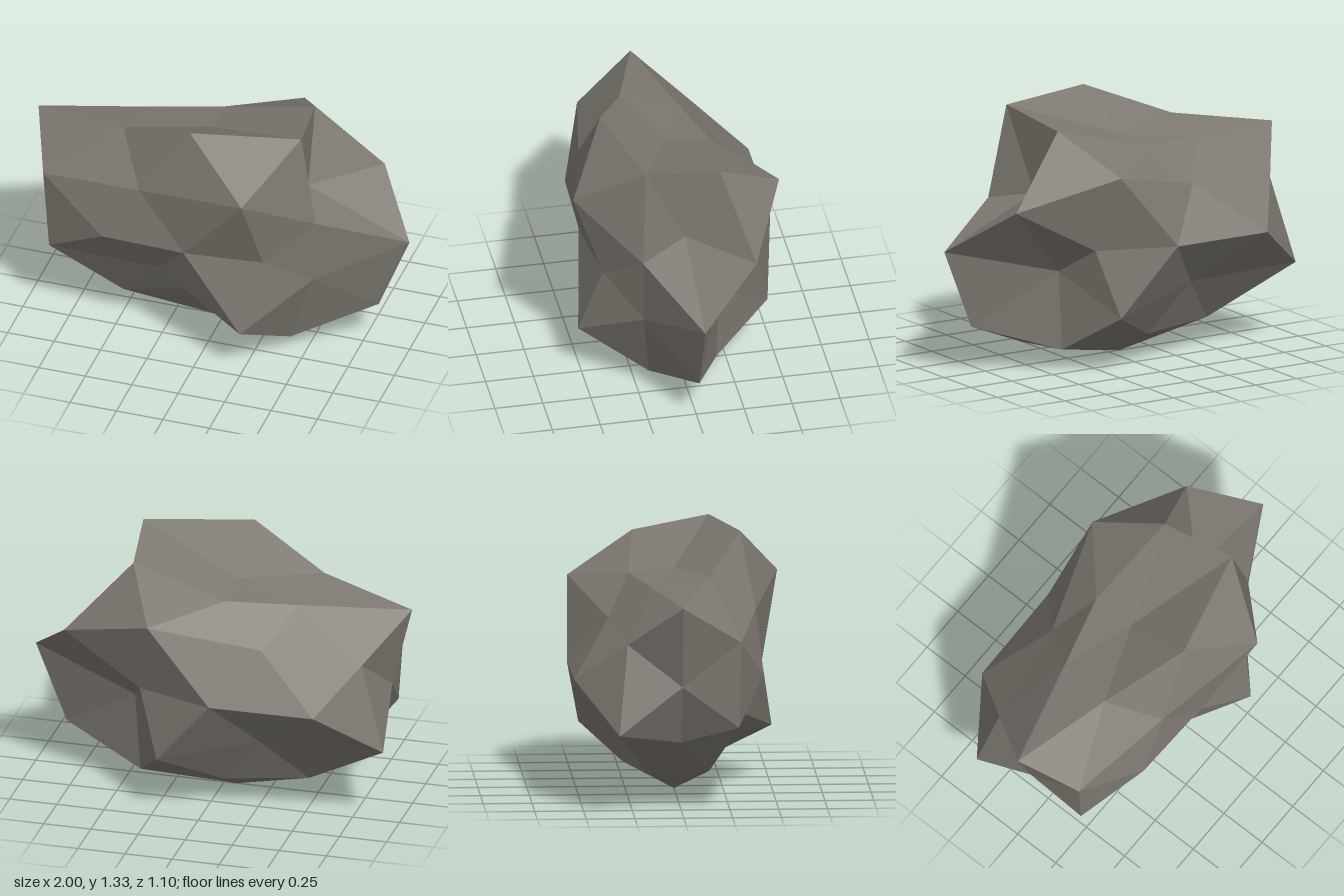
import * as THREE from 'three';

// Radius of the rock along each direction family.
// Order within a family: x sign, then y sign, then z sign, plus before minus.
const FAMILIES = [
  { dir: [1, 0, 0], radii: [0.792, 0.61] },
  { dir: [0, 1, 0], radii: [0.49, 0.66] },
  { dir: [0, 0, 1], radii: [0.55, 0.668] },
  { dir: [0, 0.851, 0.526], radii: [0.789, 0.545, 0.452, 0.61] },
  { dir: [0.526, 0, 0.851], radii: [0.584, 0.573, 0.625, 0.775] },
  { dir: [0.851, 0.526, 0], radii: [0.456, 0.788, 0.808, 0.59] },
  { dir: [0.309, 0.5, 0.809], radii: [0.825, 0.796, 0.781, 0.715, 0.61, 0.525, 0.449, 0.51] },
  { dir: [0.5, 0.809, 0.309], radii: [0.823, 0.74, 0.724, 0.69, 0.621, 0.55, 0.621, 0.63] },
  { dir: [0.809, 0.309, 0.5], radii: [0.59, 0.763, 0.57, 0.45, 0.736, 0.675, 0.71, 0.79] },
];

// Expand every family over its mirrored signs.
function buildKnots() {
  const knots = [];
  const signs = (v) => (v === 0 ? [0] : [v, -v]);
  for (const { dir, radii } of FAMILIES) {
    let i = 0;
    for (const x of signs(dir[0]))
      for (const y of signs(dir[1]))
        for (const z of signs(dir[2]))
          knots.push({ dir: new THREE.Vector3(x, y, z), radius: radii[i++] });
  }
  return knots;
}

export function createModel() {
  const group = new THREE.Group();
  group.name = 'rock';

  const stone = new THREE.MeshStandardMaterial({ color: 0x7d7870, flatShading: true });
  stone.name = 'grey stone';

  // Once-subdivided icosahedron, each corner pushed in or out, then stretched
  const geometry = new THREE.IcosahedronGeometry(1, 1);
  geometry.rotateX(-Math.PI / 2);
  const knots = buildKnots();
  const position = geometry.attributes.position;
  const p = new THREE.Vector3();
  for (let i = 0; i < position.count; i++) {
    p.fromBufferAttribute(position, i);
    const knot = knots.reduce((a, b) => (b.dir.dot(p) > a.dir.dot(p) ? b : a));
    p.normalize().multiplyScalar(knot.radius);
    position.setXYZ(i, p.x * 1.35 - 0.07, p.y + 0.66, p.z * 0.82);
  }
  geometry.computeVertexNormals();

  const boulder = new THREE.Mesh(geometry, stone);
  boulder.name = 'boulder';
  group.add(boulder);
  return group;
}
